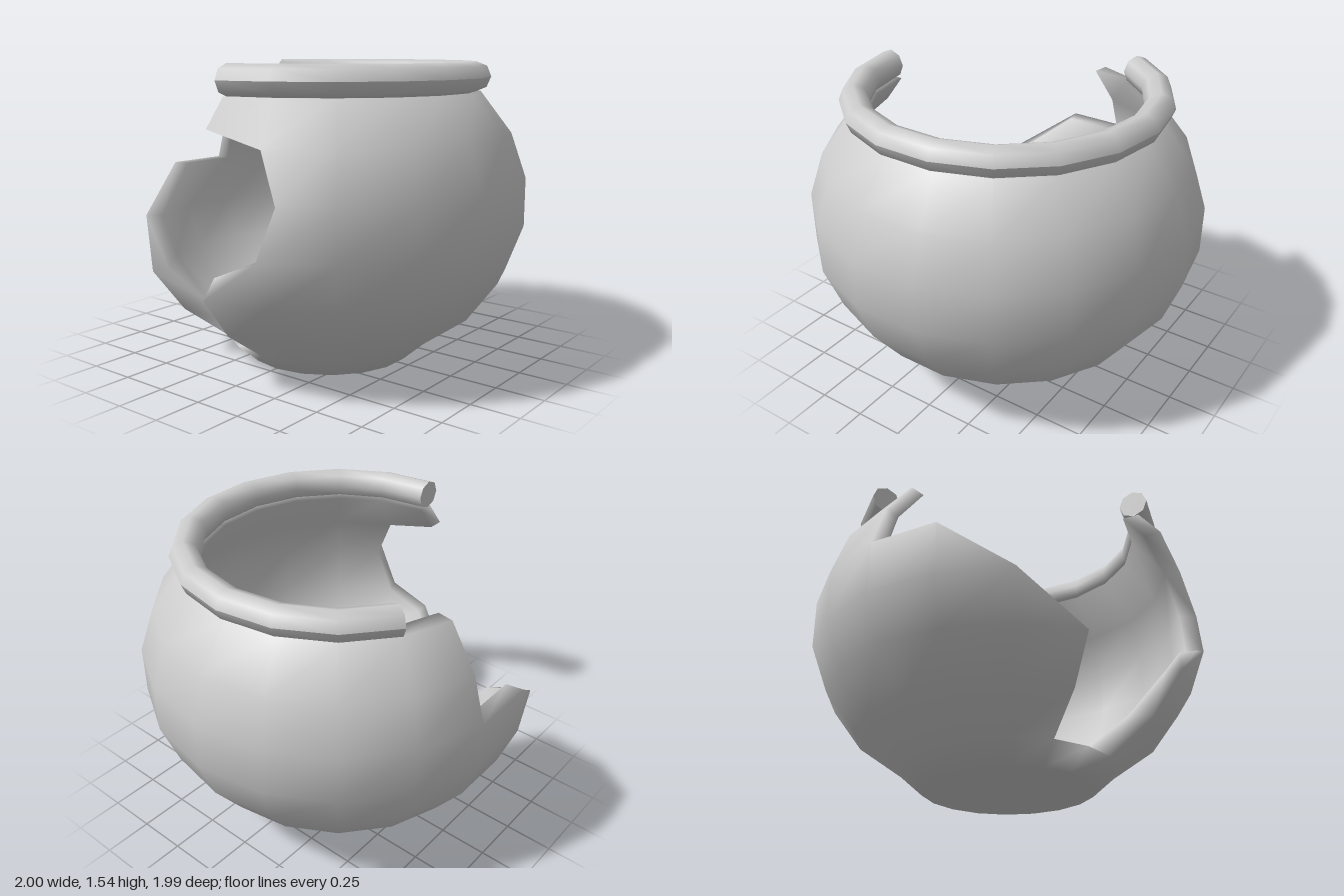
import * as THREE from 'three';

const SIDES = 18;
const STEP = (Math.PI * 2) / SIDES;

// [radius, y] of each ring, bottom to top
const OUTER = [[0.437, 0], [0.55, 0.1], [0.775, 0.26], [0.93, 0.47], [1.015, 0.7], [1.015, 0.95], [0.935, 1.18], [0.775, 1.39]];
const INNER = [[0.2, 0.1], [0.35, 0.105], [0.65, 0.29], [0.85, 0.48], [0.925, 0.7], [0.925, 0.95], [0.855, 1.17], [0.69, 1.39]];
const RINGS = OUTER.length;

// Ragged break points: 'column,ring' -> [angle in steps, outer r, y, inner r, y]
const MOVED = {
  '0,4': [0.36, 0.985, 0.61, 0.9, 0.61],
  '1,5': [1.26, 1.01, 0.95, 0.92, 0.95],
  '0,6': [0, 0.885, 1.25, 0.8, 1.25],
};

// How many rows of wall survive in each broken column; the rest are whole
const SURVIVING = { 13: 5, 14: 4, 15: 3, 16: 1, 17: 1 };
const SLANTED = { 14: 4, 15: 3 };

function createBody() {
  const layerSize = SIDES * RINGS + 1;
  const centre = SIDES * RINGS;
  const id = (i, j) => (i % SIDES) * RINGS + j;

  // Outer skin vertices followed by the matching inner skin
  const positions = [];
  [OUTER, INNER].forEach((profile, layer) => {
    for (let i = 0; i < SIDES; i++) {
      for (let j = 0; j < RINGS; j++) {
        const m = MOVED[`${i},${j}`];
        const angle = (m ? m[0] : i) * STEP;
        const [r, y] = m ? m.slice(1 + layer * 2, 3 + layer * 2) : profile[j];
        positions.push(r * Math.sin(angle), y, r * Math.cos(angle));
      }
    }
    positions.push(0, profile[0][1], 0);
  });

  // Surviving pieces of the wall
  const faces = [];
  for (let i = 0; i < SIDES; i++) {
    faces.push([centre, id(i + 1, 0), id(i, 0)]);
    for (let j = 0; j < RINGS - 1; j++) {
      const hole = i === 0 && (j === 4 || j === 5);
      if (j < (SURVIVING[i] ?? RINGS) && !hole) {
        faces.push([id(i, j), id(i + 1, j), id(i + 1, j + 1), id(i, j + 1)]);
      } else if (SLANTED[i] === j) {
        faces.push([id(i, j), id(i + 1, j), id(i, j + 1)]);
      }
    }
  }

  const index = [];
  const addFace = (f) => {
    for (let k = 1; k < f.length - 1; k++) index.push(f[0], f[k], f[k + 1]);
  };
  const edges = new Map();
  for (const f of faces) {
    addFace(f);
    addFace(f.map((v) => v + layerSize).reverse());
    f.forEach((a, k) => {
      const b = f[(k + 1) % f.length];
      edges.set(`${a},${b}`, [a, b]);
    });
  }
  // Wall thickness along every open edge
  for (const [a, b] of edges.values()) {
    if (!edges.has(`${b},${a}`)) addFace([b, a, a + layerSize, b + layerSize]);
  }

  const geometry = new THREE.BufferGeometry();
  geometry.setAttribute('position', new THREE.Float32BufferAttribute(positions, 3));
  geometry.setIndex(index);
  geometry.computeVertexNormals();
  return geometry;
}

export function createModel() {
  const material = new THREE.MeshStandardMaterial({ color: 0xcccccc });
  const model = new THREE.Group();
  model.name = 'brokenPot';

  const add = (name, geometry, parent) => {
    const mesh = new THREE.Mesh(geometry, material);
    mesh.name = name;
    parent.add(mesh);
    return mesh;
  };

  add('potBody', createBody(), model);

  // Rounded rim, broken off over the front right third
  const rim = new THREE.Group();
  rim.name = 'rim';
  model.add(rim);
  const radius = 0.75, tube = 0.075, height = 1.463, segments = 12;
  const section = [];
  for (let k = 0; k <= 8; k++) {
    const a = (k / 8) * Math.PI * 2;
    section.push(new THREE.Vector2(radius + tube * Math.cos(a), height + tube * Math.sin(a)));
  }
  add('rimRing', new THREE.LatheGeometry(section, segments, 0, segments * STEP), rim);

  // Broken ends of the rim
  for (const [angle, turn] of [[0, -Math.PI / 2], [segments * STEP, Math.PI / 2]]) {
    const end = add('rimEnd', new THREE.CircleGeometry(tube, 8), rim);
    end.position.set(radius * Math.sin(angle), height, radius * Math.cos(angle));
    end.rotation.y = angle + turn;
  }

  // Centre the pot on its remaining extent
  for (const part of model.children) part.position.z = 0.02;
  return model;
}
